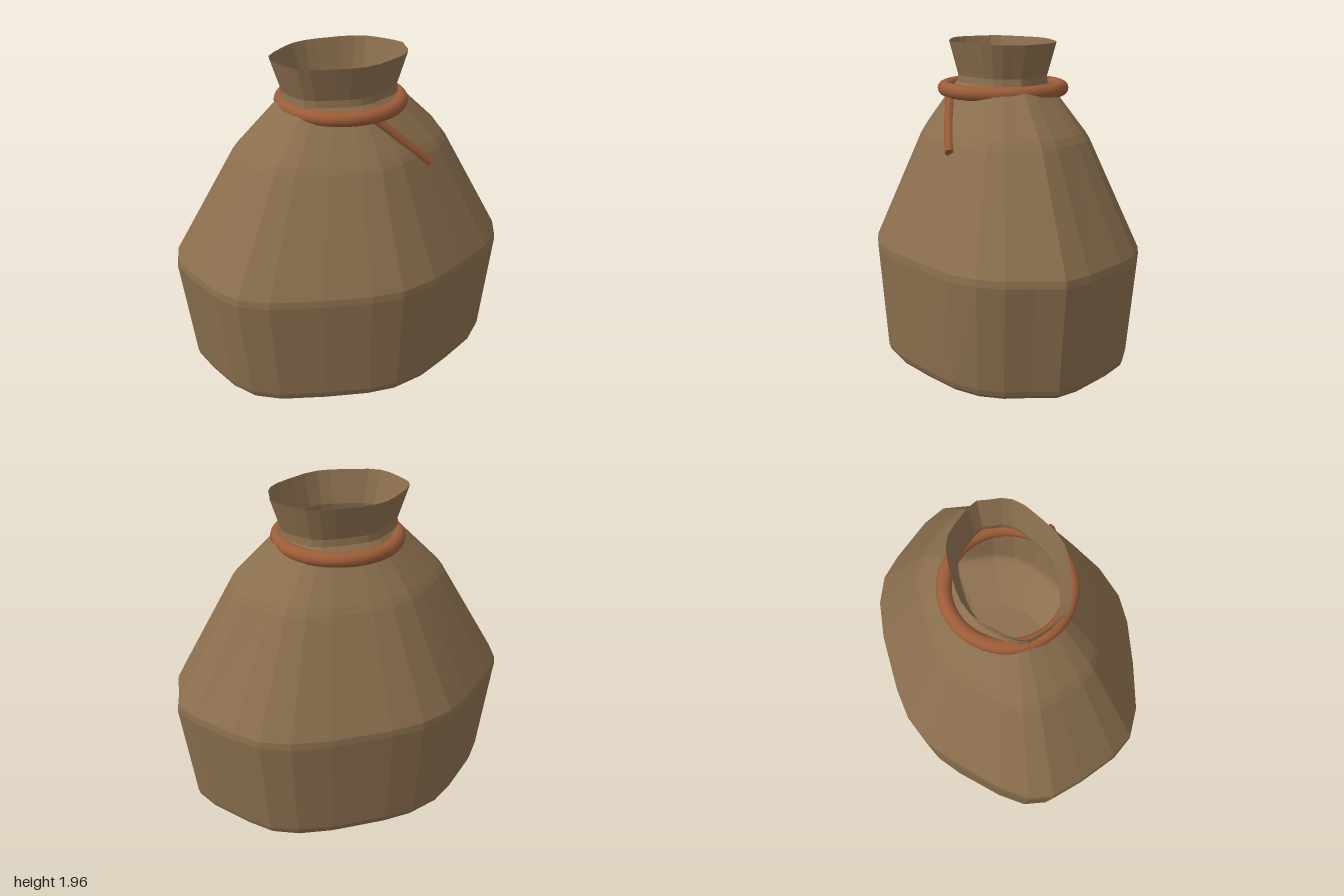
import * as THREE from 'three';

// Irregular plan outline of the sack at its widest, as x, z
const OUTLINE = [
  [1, -0.02], [0.95, 0.13], [0.91, 0.28], [0.83, 0.41], [0.69, 0.52], [0.44, 0.63], [0.2, 0.72],
  [-0.02, 0.75], [-0.2, 0.72], [-0.46, 0.63], [-0.72, 0.52], [-0.86, 0.41], [-0.93, 0.27],
  [-0.98, 0.03], [-1, -0.16], [-0.95, -0.3], [-0.82, -0.43], [-0.56, -0.62], [-0.4, -0.71],
  [-0.2, -0.755], [-0.01, -0.75], [0.34, -0.7], [0.55, -0.64], [0.7, -0.55], [0.8, -0.42], [0.95, -0.17],
];

// Heights with half width, half depth and x offset
const RINGS = [
  [0, 0.57, 0.44, 0],
  [0.13, 0.885, 0.675, 0],
  [0.15, 0.905, 0.692, 0],
  [0.18, 0.915, 0.703, 0],
  [0.78, 0.995, 0.748, 0],
  [0.82, 0.99, 0.745, 0],
  [1.43, 0.64, 0.475, 0],
  [1.47, 0.61, 0.45, 0],
  [1.69, 0.39, 0.29, -0.01],
  [1.73, 0.345, 0.255, -0.015],
  [1.77, 0.34, 0.25, -0.015],
  [1.96, 0.402, 0.3, -0.015],
];

// Faceted skin through the rings, closed at the bottom and open at the mouth
function sackGeometry() {
  const n = OUTLINE.length;
  const positions = [];
  const index = [];
  for (const [y, w, d, dx] of RINGS) {
    for (const [x, z] of OUTLINE) positions.push(x * w + dx, y, (z * d) / 0.75);
  }
  for (let r = 0; r < RINGS.length - 1; r++) {
    for (let i = 0; i < n; i++) {
      const a = r * n + i;
      const b = r * n + ((i + 1) % n);
      index.push(a, a + n, b, b, a + n, b + n);
    }
  }
  const centre = positions.length / 3;
  positions.push(0, 0, 0);
  for (let i = 0; i < n; i++) index.push(centre, i, (i + 1) % n);

  const indexed = new THREE.BufferGeometry();
  indexed.setAttribute('position', new THREE.Float32BufferAttribute(positions, 3));
  indexed.setIndex(index);
  const geometry = indexed.toNonIndexed();
  geometry.computeVertexNormals();
  return geometry;
}

export function createModel() {
  const group = new THREE.Group();
  const cloth = new THREE.MeshStandardMaterial({ color: 0x8b6f4e, side: THREE.DoubleSide });
  cloth.name = 'brown cloth';
  const cord = new THREE.MeshStandardMaterial({ color: 0x9c5c38 });
  cord.name = 'rust cord';

  function add(name, geometry, material) {
    const mesh = new THREE.Mesh(geometry, material);
    mesh.name = name;
    group.add(mesh);
    return mesh;
  }

  add('sack', sackGeometry(), cloth);

  // Cord around the neck
  const ring = add('neckCord', new THREE.TorusGeometry(0.338, 0.042, 14, 48), cord);
  ring.rotation.x = Math.PI / 2;
  ring.position.set(-0.01, 1.69, -0.01);

  // Loose end of the cord, hanging down the front
  const path = new THREE.CatmullRomCurve3([
    new THREE.Vector3(0, 1.69, 0.31),
    new THREE.Vector3(0.08, 1.62, 0.335),
    new THREE.Vector3(0.2, 1.51, 0.375),
    new THREE.Vector3(0.335, 1.39, 0.41),
  ]);
  add('cordEnd', new THREE.TubeGeometry(path, 8, 0.027, 6), cord);

  // Flat cut at the tip of the loose end
  const cut = add('cordTip', new THREE.CircleGeometry(0.027, 6), cord);
  cut.position.copy(path.getPoint(1));
  cut.lookAt(path.getPoint(1).add(path.getTangent(1)));

  return group;
}
